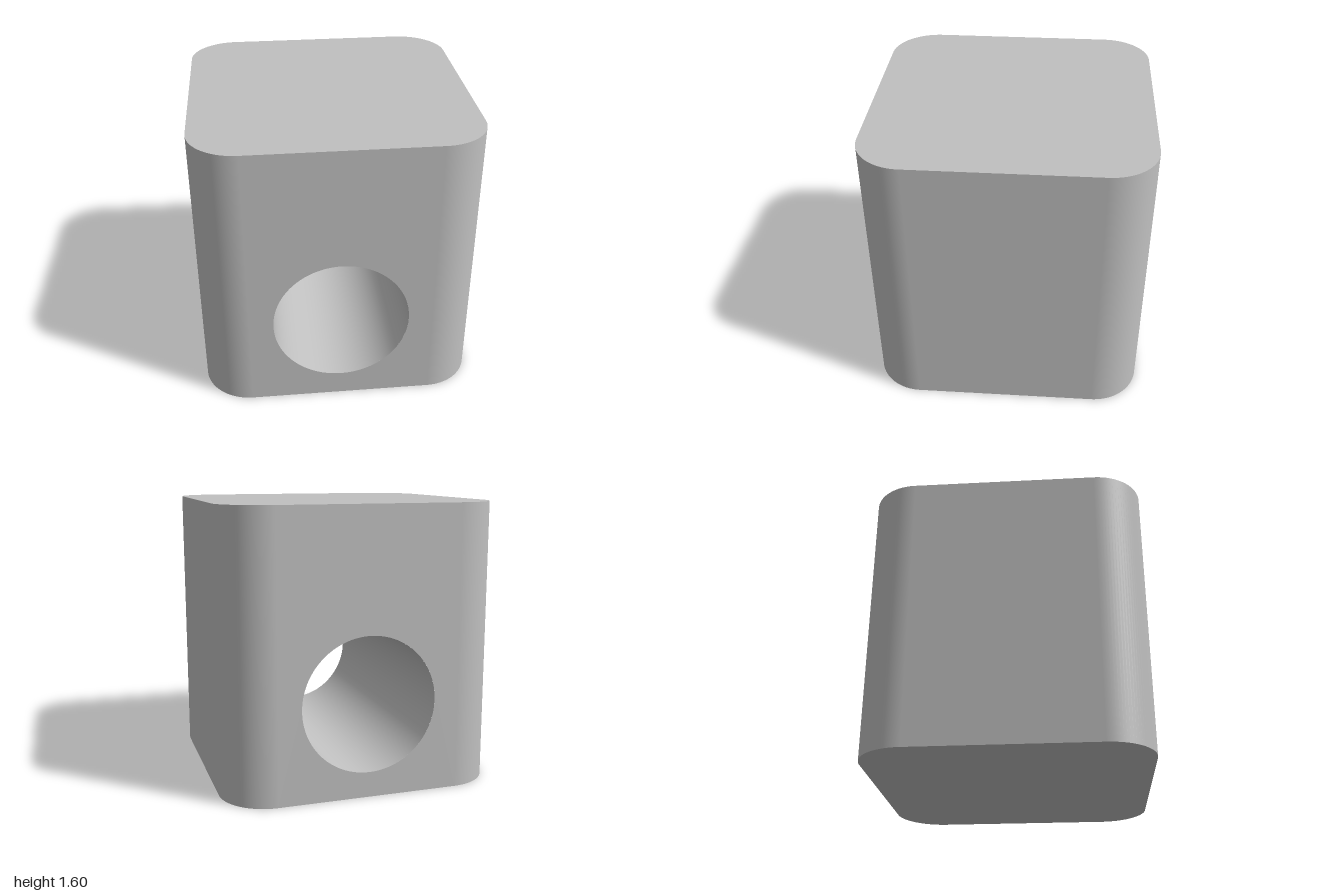
import * as THREE from 'three';

const HEIGHT = 1.6;
const HALF = 0.786;         // centre to flat side
const CORNER = 0.27;        // radius of the upright edges
const FLAT = HALF - CORNER; // half width of each flat side
const BORE = 0.381;         // tunnel radius
const BORE_Y = 0.524;       // tunnel axis height

// Rounded square outline of the block
function outline() {
  const s = new THREE.Shape();
  s.absarc(FLAT, FLAT, CORNER, 0, Math.PI / 2);
  s.absarc(-FLAT, FLAT, CORNER, Math.PI / 2, Math.PI);
  s.absarc(-FLAT, -FLAT, CORNER, Math.PI, Math.PI * 1.5);
  s.absarc(FLAT, -FLAT, CORNER, Math.PI * 1.5, Math.PI * 2);
  return s;
}

// Flat side, optionally pierced by the tunnel mouth
function sideShape(pierced) {
  const s = new THREE.Shape([
    new THREE.Vector2(-FLAT, 0), new THREE.Vector2(FLAT, 0),
    new THREE.Vector2(FLAT, HEIGHT), new THREE.Vector2(-FLAT, HEIGHT),
  ]);
  if (pierced) s.holes.push(new THREE.Path().absarc(0, BORE_Y, BORE, 0, Math.PI * 2, true));
  return s;
}

export function createModel() {
  const model = new THREE.Group();
  model.name = 'boredBlock';
  const grey = new THREE.MeshStandardMaterial({ color: 0xc0c0c0 });
  grey.name = 'grey';

  const block = new THREE.Group();
  block.name = 'block';
  block.rotation.y = Math.PI / 4;
  model.add(block);

  const add = (name, geometry, parent = block) => {
    const mesh = new THREE.Mesh(geometry, grey);
    mesh.name = name;
    parent.add(mesh);
    return mesh;
  };

  // Four flat sides, each followed by its rounded upright edge
  for (let i = 0; i < 4; i++) {
    const side = new THREE.Group();
    side.name = 'side' + (i + 1);
    side.rotation.y = i * Math.PI / 2;
    block.add(side);
    add('flatSide', new THREE.ShapeGeometry(sideShape(i % 2 === 0), 64), side).position.z = HALF;
    add('roundedEdge', new THREE.CylinderGeometry(CORNER, CORNER, HEIGHT, 24, 1, true, 0, Math.PI / 2), side)
      .position.set(FLAT, HEIGHT / 2, FLAT);
  }

  // Top and bottom
  add('top', new THREE.ShapeGeometry(outline(), 24).rotateX(-Math.PI / 2)).position.y = HEIGHT;
  add('bottom', new THREE.ShapeGeometry(outline(), 24).rotateX(Math.PI / 2));

  // Tunnel wall, profile run downwards so that it faces inwards
  const profile = [new THREE.Vector2(BORE, HALF), new THREE.Vector2(BORE, -HALF)];
  add('tunnel', new THREE.LatheGeometry(profile, 64).rotateX(Math.PI / 2)).position.y = BORE_Y;

  return model;
}
